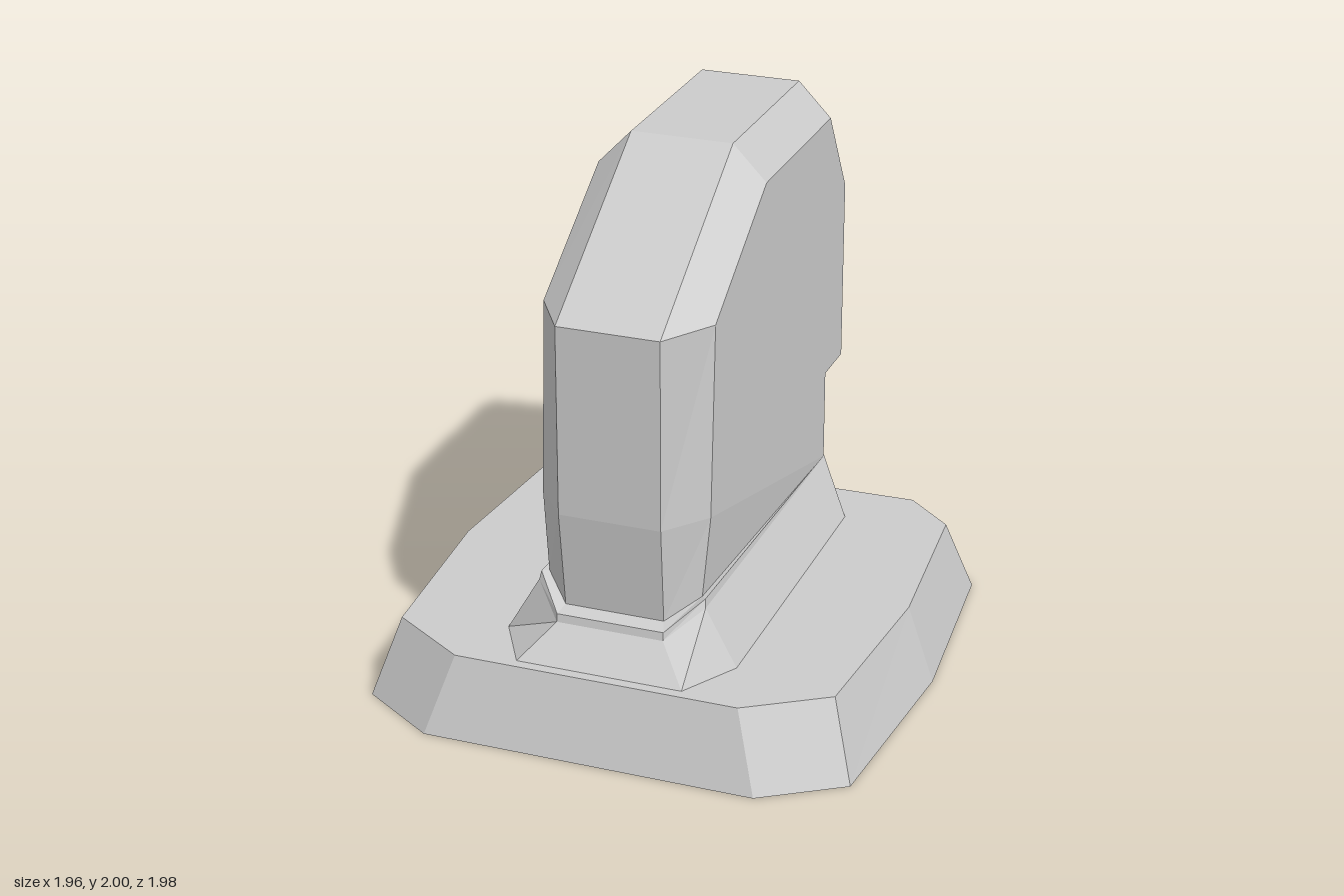
import * as THREE from 'three';

const material = new THREE.MeshStandardMaterial({ color: 0xcccccc, flatShading: true, side: THREE.DoubleSide });
const flip = ([x, y, z]) => [-x, y, z];

// Turns a list of polygons (arrays of [x, y, z]) into one faceted mesh.
function facetMesh(name, faces) {
  const pos = [];
  for (const f of faces)
    for (let i = 1; i < f.length - 1; i++) pos.push(...f[0], ...f[i], ...f[i + 1]);
  const g = new THREE.BufferGeometry();
  g.setAttribute('position', new THREE.Float32BufferAttribute(pos, 3));
  g.computeVertexNormals();
  const m = new THREE.Mesh(g, material);
  m.name = name;
  return m;
}

// Quads between successive sections of equal length.
function loft(sections, closed) {
  const faces = [];
  for (let s = 0; s < sections.length - 1; s++) {
    const a = sections[s], b = sections[s + 1], n = a.length;
    for (let i = 0; i < (closed ? n : n - 1); i++) {
      const j = (i + 1) % n;
      faces.push([a[i], a[j], b[j], b[i]]);
    }
  }
  return faces;
}

// Adds the mirrored copy of each face.
const mirrored = (faces) => [...faces, ...faces.map((f) => f.map(flip).reverse())];
// Completes a half ring on the +x side.
const fullRing = (half) => [...half, ...half.map(flip).reverse()];

// Skirt rings, from the base up to the body; each half runs front to back.
const skirtRings = [
  [[0.31, 0.29, 0.86], [0.435, 0.29, 0.64], [0.435, 0.29, -0.62], [0.12, 0.29, -0.76]],
  [[0.2, 0.41, 0.75], [0.315, 0.5, 0.63], [0.318, 0.49, -0.71], [0.06, 0.42, -0.735]],
  [[0.2, 0.44, 0.745], [0.31, 0.53, 0.62], [0.317, 0.495, -0.71], [0.06, 0.42, -0.73]],
  [[0.185, 0.46, 0.7], [0.29, 0.525, 0.595], [0.315, 0.49, -0.71], [0.06, 0.42, -0.72]],
].map(fullRing);

// Base: sloped walls, open below, with a top plate cut out under the skirt.
function makeBase() {
  const bottom = [[0.62, 0.99], [0.91, 0.8], [0.975, 0], [0.91, -0.78], [0.73, -0.945],
    [-0.84, -0.915], [-0.915, -0.78], [-0.98, 0], [-0.915, 0.8], [-0.62, 0.99]];
  const top = [[0.53, 0.9], [0.82, 0.71], [0.875, 0], [0.82, -0.69], [0.64, -0.85],
    [-0.745, -0.825], [-0.825, -0.69], [-0.88, 0], [-0.825, 0.71], [-0.53, 0.9]];
  const at = (ring, y) => ring.map(([x, z]) => [x, y, z]);
  const base = new THREE.Group();
  base.name = 'base';
  base.add(facetMesh('baseWalls', loft([at(bottom, 0), at(top, 0.29)], true)));

  const shape = new THREE.Shape(top.map(([x, z]) => new THREE.Vector2(x, -z)));
  shape.holes.push(new THREE.Path(skirtRings[0].map(([x, , z]) => new THREE.Vector2(x, -z))));
  const plate = new THREE.Mesh(new THREE.ShapeGeometry(shape).rotateX(-Math.PI / 2), material);
  plate.position.y = 0.29;
  plate.name = 'baseTop';
  base.add(plate);
  return base;
}

// Body: narrow centre strip, chamfers and flat side panels around one profile.
function makeBody() {
  const profile = [ // [centre edge], [side edge]
    [[0.185, 0.46, 0.7], [0.29, 0.525, 0.595]],
    [[0.19, 0.83, 0.74], [0.315, 0.83, 0.58]],
    [[0.19, 1.54, 0.74], [0.315, 1.54, 0.54]],
    [[0.19, 2, 0.02], [0.315, 1.87, 0.02]],
    [[0.19, 2, -0.71], [0.315, 1.87, -0.71]],
    [[0.19, 1.54, -0.985], [0.315, 1.54, -0.91]],
    [[0.19, 0.84, -0.985], [0.315, 0.84, -0.91]],
    [[0.19, 0.84, -0.71], [0.315, 0.84, -0.71]],
    [[0.06, 0.42, -0.72], [0.315, 0.49, -0.71]],
  ];
  const sections = profile.map(([c, s]) => [flip(s), flip(c), c, s]);

  const side = profile.map(([, s]) => s);
  const outline = side.map(([, y, z]) => new THREE.Vector2(y, z));
  const panel = THREE.ShapeUtils.triangulateShape(outline, []).map((t) => {
    const [a, b, c] = t.map((i) => outline[i]);
    const ccw = (b.x - a.x) * (c.y - a.y) - (b.y - a.y) * (c.x - a.x) > 0;
    const tri = t.map((i) => side[i]);
    return ccw ? tri : tri.reverse();
  });
  const body = new THREE.Group();
  body.name = 'body';
  body.add(facetMesh('bodyShell', loft(sections, false)), facetMesh('sidePanels', mirrored(panel)));
  return body;
}

// Tapered tongue under the rear overhang.
function makeTongue() {
  const a = [0.2, 0.84, -0.71], b = [0.2, 0.84, -0.8], c = [0.12, 0.84, -0.89];
  const bLow = [0.15, 0.58, -0.71], cLow = [0.06, 0.42, -0.725];
  const faces = mirrored([[a, bLow, b], [b, bLow, cLow, c]]);
  faces.push([c, cLow, flip(cLow), flip(c)]);
  return facetMesh('rearTongue', faces);
}

export function createModel() {
  const model = new THREE.Group();
  model.name = 'model';
  model.add(makeBase(), facetMesh('skirt', loft(skirtRings, true)), makeBody(), makeTongue());
  return model;
}
